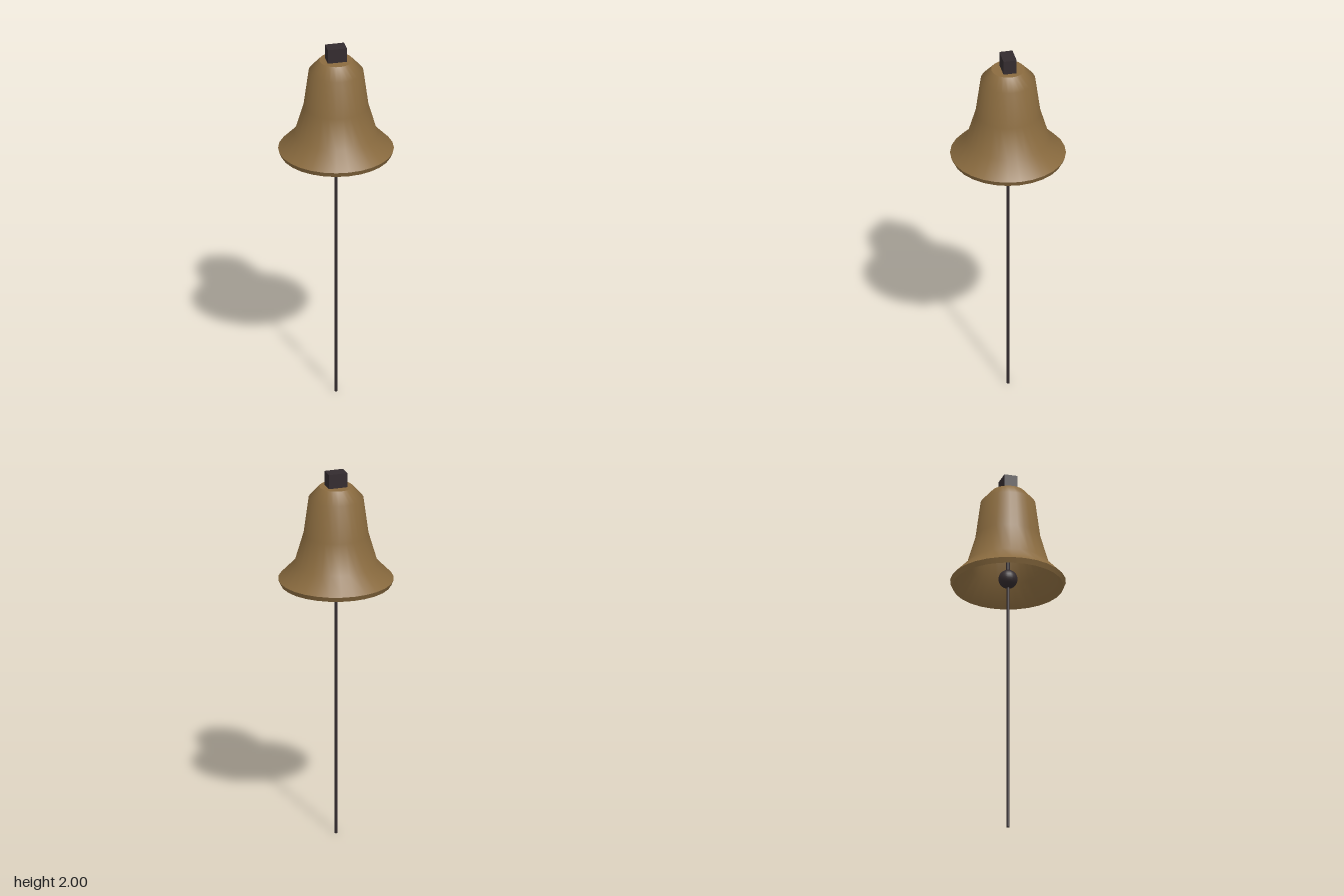
import * as THREE from 'three';

const SIDES = 28;

export function createModel() {
  const bronze = new THREE.MeshStandardMaterial({ color: 0x8a6b3f, side: THREE.DoubleSide });
  bronze.name = 'bronze';
  const iron = new THREE.MeshStandardMaterial({ color: 0x332b2e });
  iron.name = 'dark iron';

  const model = new THREE.Group();
  model.name = 'hangingBell';

  const add = (name, geometry, material, y = 0) => {
    const mesh = new THREE.Mesh(geometry, material);
    mesh.name = name;
    mesh.position.y = y;
    model.add(mesh);
  };
  const lathe = (points) =>
    new THREE.LatheGeometry(points.map(([r, y]) => new THREE.Vector2(r, y)), SIDES);

  // Bell shell; separate lathes keep the rim and crown edges sharp
  add('bellRim', lathe([[0.29, 1.385], [0.302, 1.412]]), bronze);
  add('bellBody', lathe([[0.302, 1.412], [0.217, 1.5], [0.17, 1.66], [0.143, 1.86], [0.087, 1.922]]), bronze);
  add('bellCrown', lathe([[0.087, 1.922], [0, 1.922]]), bronze);

  // Hollow inside of the bell, listed downward so that it faces the axis
  add('bellInside', lathe([[0, 1.89], [0.07, 1.89], [0.12, 1.84], [0.148, 1.65], [0.193, 1.49], [0.29, 1.385]]), bronze);

  // Mounting block on the crown
  add('mountingBlock', new THREE.BoxGeometry(0.102, 0.08, 0.07), iron, 1.96);

  // Clapper inside the bell, with the pull rope hanging from it
  add('clapperRod', new THREE.CylinderGeometry(0.011, 0.011, 0.47, 10), iron, 1.66);
  add('clapperBall', new THREE.SphereGeometry(0.05, 20, 14), iron, 1.424);
  add('pullRope', new THREE.CylinderGeometry(0.008, 0.008, 1.42, 8), iron, 0.71);

  return model;
}
